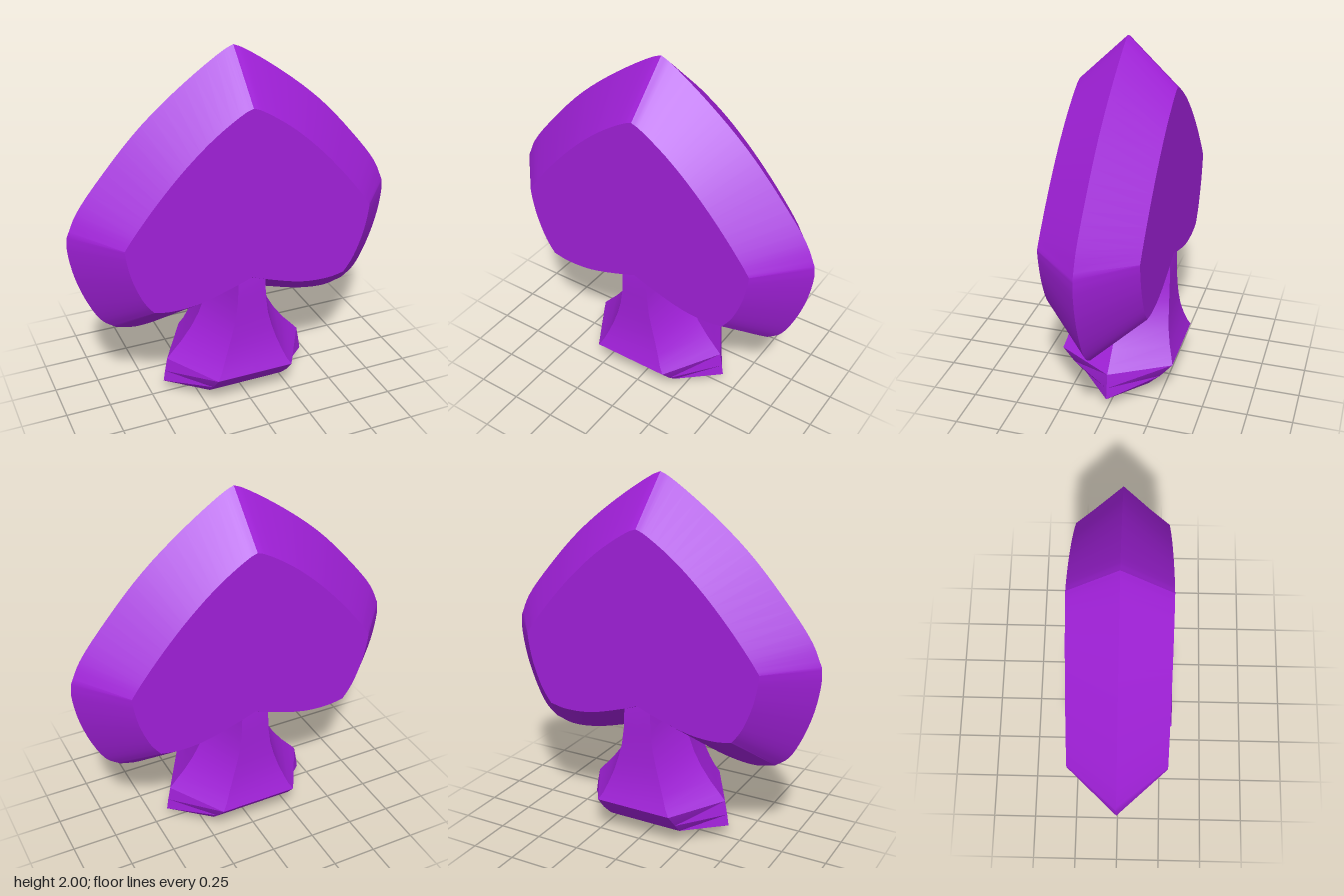
import * as THREE from 'three';
import { toCreasedNormals } from 'three/addons/utils/BufferGeometryUtils.js';

// Skin a list of closed rings and close both ends with fans to the given centres
function loft(rings, startCentre, endCentre, crease) {
  const pos = [];
  const tri = (...pts) => pts.forEach(p => pos.push(p.x, p.y, p.z));
  const n = rings[0].length;
  for (let j = 0; j < n; j++) {
    const k = (j + 1) % n;
    for (let i = 0; i < rings.length - 1; i++) {
      const [a, b, c, d] = [rings[i][j], rings[i][k], rings[i + 1][k], rings[i + 1][j]];
      tri(a, b, c);
      tri(a, c, d);
    }
    const last = rings[rings.length - 1];
    tri(startCentre, rings[0][k], rings[0][j]);
    tri(endCentre, last[j], last[k]);
  }
  const geo = new THREE.BufferGeometry();
  geo.setAttribute('position', new THREE.Float32BufferAttribute(pos, 3));
  return toCreasedNormals(geo, crease);
}

// Smooth each edge of a half outline, then mirror it into a closed clockwise ring
function outline(edges, z) {
  const half = [];
  edges.forEach((edge, e) => {
    const curve = new THREE.CatmullRomCurve3(edge.map(([x, y]) => new THREE.Vector3(x, y, z)));
    const steps = (edge.length - 1) * 4;
    for (let s = e ? 1 : 0; s <= steps; s++) half.push(curve.getPoint(s / steps));
  });
  const mirrored = half.slice(1, -1).reverse().map(p => new THREE.Vector3(-p.x, p.y, p.z));
  return [...half, ...mirrored];
}

export function createModel() {
  const group = new THREE.Group();
  const purple = new THREE.MeshStandardMaterial({ color: 0xa020d8 });
  const add = (name, geo) => {
    const mesh = new THREE.Mesh(geo, purple);
    mesh.name = name;
    group.add(mesh);
  };

  // Spade blade: flat faces bevelled out to a sharp middle edge.
  // Edges run apex to shoulder, shoulder to lobe, lobe to stem.
  const rim = [
    [[0, 2], [0.05, 1.978], [0.27, 1.83], [0.5, 1.64], [0.7, 1.425], [0.86, 1.22], [0.915, 1.1]],
    [[0.915, 1.1], [0.92, 1.03], [0.89, 0.85], [0.82, 0.66], [0.76, 0.56], [0.69, 0.505]],
    [[0.69, 0.505], [0.58, 0.48], [0.42, 0.495], [0.19, 0.56], [0, 0.62]],
  ];
  const face = [
    [[0, 1.75], [0.04, 1.735], [0.2, 1.63], [0.36, 1.49], [0.51, 1.33], [0.64, 1.17], [0.69, 1.1]],
    [[0.69, 1.1], [0.685, 1.05], [0.66, 0.93], [0.61, 0.8], [0.58, 0.75], [0.55, 0.71]],
    [[0.55, 0.71], [0.46, 0.695], [0.3, 0.705], [0.08, 0.77], [0, 0.8]],
  ];
  const depth = 0.26;
  add('blade', loft(
    [outline(face, depth), outline(rim, 0), outline(face, -depth)],
    new THREE.Vector3(0, 1.1, depth), new THREE.Vector3(0, 1.1, -depth), 0.42));

  // Stem with flared foot: [y, half width at the middle, half width of face, half depth]
  const stem = [
    [0.85, 0.12, 0.07, 0.25],
    [0.77, 0.13, 0.078, 0.259],
    [0.66, 0.15, 0.082, 0.26],
    [0.56, 0.18, 0.095, 0.262],
    [0.48, 0.21, 0.115, 0.266],
    [0.4, 0.255, 0.14, 0.273],
    [0.32, 0.315, 0.17, 0.288],
    [0.26, 0.37, 0.195, 0.305],
    [0.22, 0.405, 0.22, 0.318],
    [0.14, 0.42, 0.225, 0.25],
    [0.075, 0.43, 0.22, 0.185],
    [0.055, 0.38, 0.19, 0.155],
    [0.025, 0.25, 0.13, 0.105],
    [0.006, 0.12, 0.06, 0.05],
  ];
  const rings = stem.map(([y, w, f, d]) =>
    [[w, 0], [f, d], [0, d], [-f, d], [-w, 0], [-f, -d], [0, -d], [f, -d]]
      .map(([x, z]) => new THREE.Vector3(x, y, z)));
  add('stem', loft(rings, new THREE.Vector3(0, 0.85, 0), new THREE.Vector3(0, 0, 0), 0.42));

  return group;
}
